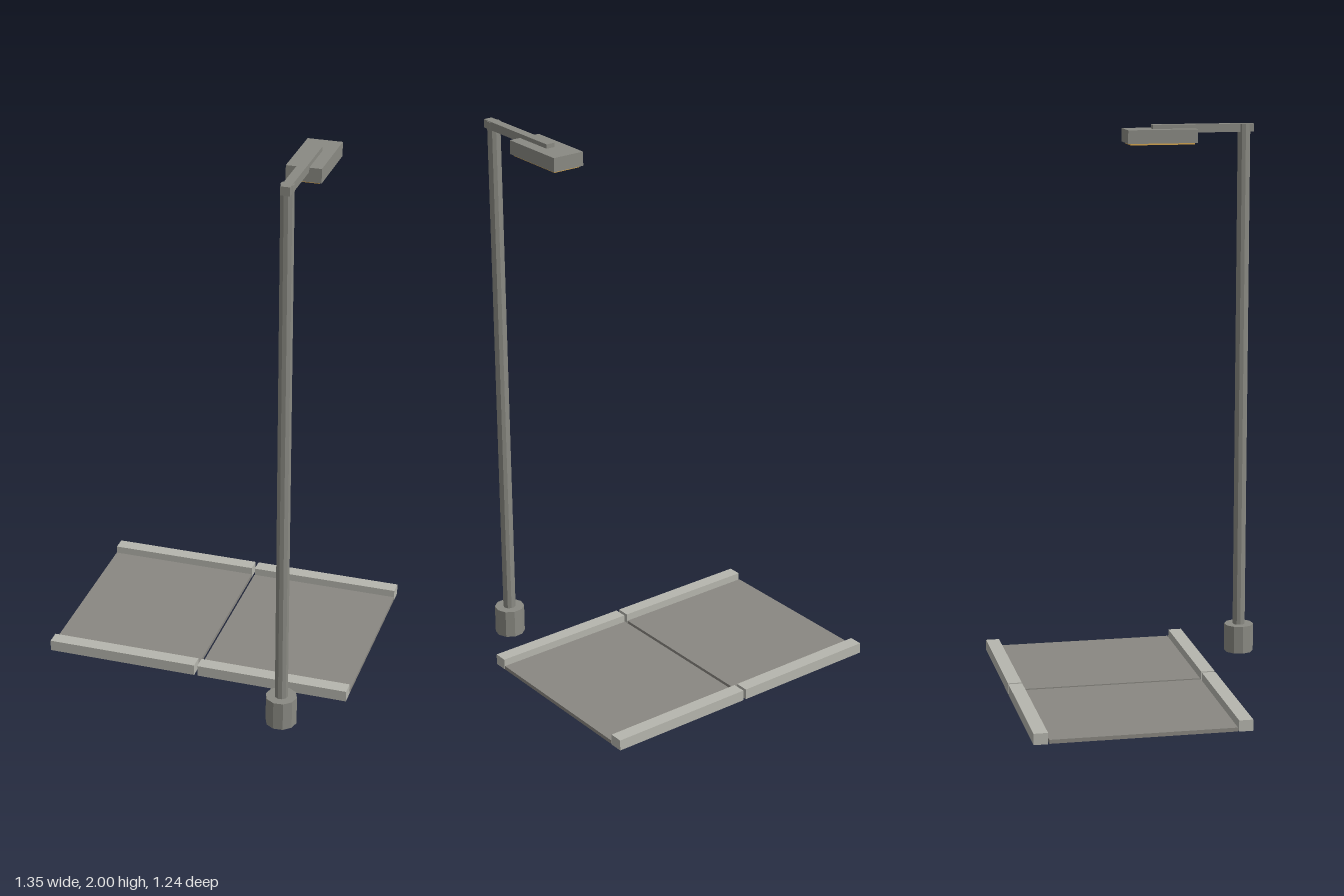
import * as THREE from 'three';

const YAW = 0.561;

export function createModel() {
  const model = new THREE.Group();
  model.name = 'streetLampAndRoad';
  const site = new THREE.Group();
  site.name = 'site';
  site.rotation.y = YAW;
  model.add(site);

  const material = (name, color, flatShading = false) =>
    Object.assign(new THREE.MeshStandardMaterial({ color, flatShading }), { name });
  const asphalt = material('asphalt', 0x8a8882);
  const concrete = material('concrete', 0xb6b6ae);
  const metal = material('metal', 0x8a8a83, true);
  const glow = material('lampGlow', 0xd9a84e);

  const add = (name, geometry, mat, x, y, z, parent = site) => {
    const mesh = new THREE.Mesh(geometry, mat);
    mesh.name = name;
    mesh.position.set(x, y, z);
    parent.add(mesh);
    return mesh;
  };
  const box = (name, w, h, d, mat, x, y, z, parent) =>
    add(name, new THREE.BoxGeometry(w, h, d), mat, x, y, z, parent);

  // Two road slabs, each with a raised kerb on both edges
  for (const side of [-1, 1]) {
    const tile = new THREE.Group();
    tile.name = side < 0 ? 'rightRoadTile' : 'leftRoadTile';
    tile.position.x = side * 0.281;
    site.add(tile);
    box('roadSlab', 0.55, 0.014, 0.654, asphalt, 0, 0.008, 0, tile);
    for (const edge of [-1, 1]) {
      box('kerb', 0.55, 0.04, 0.05, concrete, 0, 0.02, edge * 0.356, tile);
    }
  }

  // Lamp post standing beside the front kerb
  const lamp = new THREE.Group();
  lamp.name = 'lampPost';
  lamp.position.set(0.372, 0, 0.564);
  site.add(lamp);

  const post = (name, radius, height) => {
    const mesh = add(name, new THREE.CylinderGeometry(radius, radius, height, 10), metal, 0, height / 2, 0, lamp);
    mesh.rotation.y = Math.PI / 2 - YAW;
  };
  post('postBase', 0.055, 0.105);
  post('pole', 0.023, 1.998);

  // Arm reaching back over the road, carrying the lamp head
  box('arm', 0.032, 0.03, 0.377, metal, 0.002, 1.985, -0.155, lamp);
  box('lampHead', 0.119, 0.049, 0.258, metal, 0, 1.9605, -0.315, lamp);
  box('lightPanel', 0.103, 0.008, 0.238, glow, 0, 1.934, -0.315, lamp);

  return model;
}
